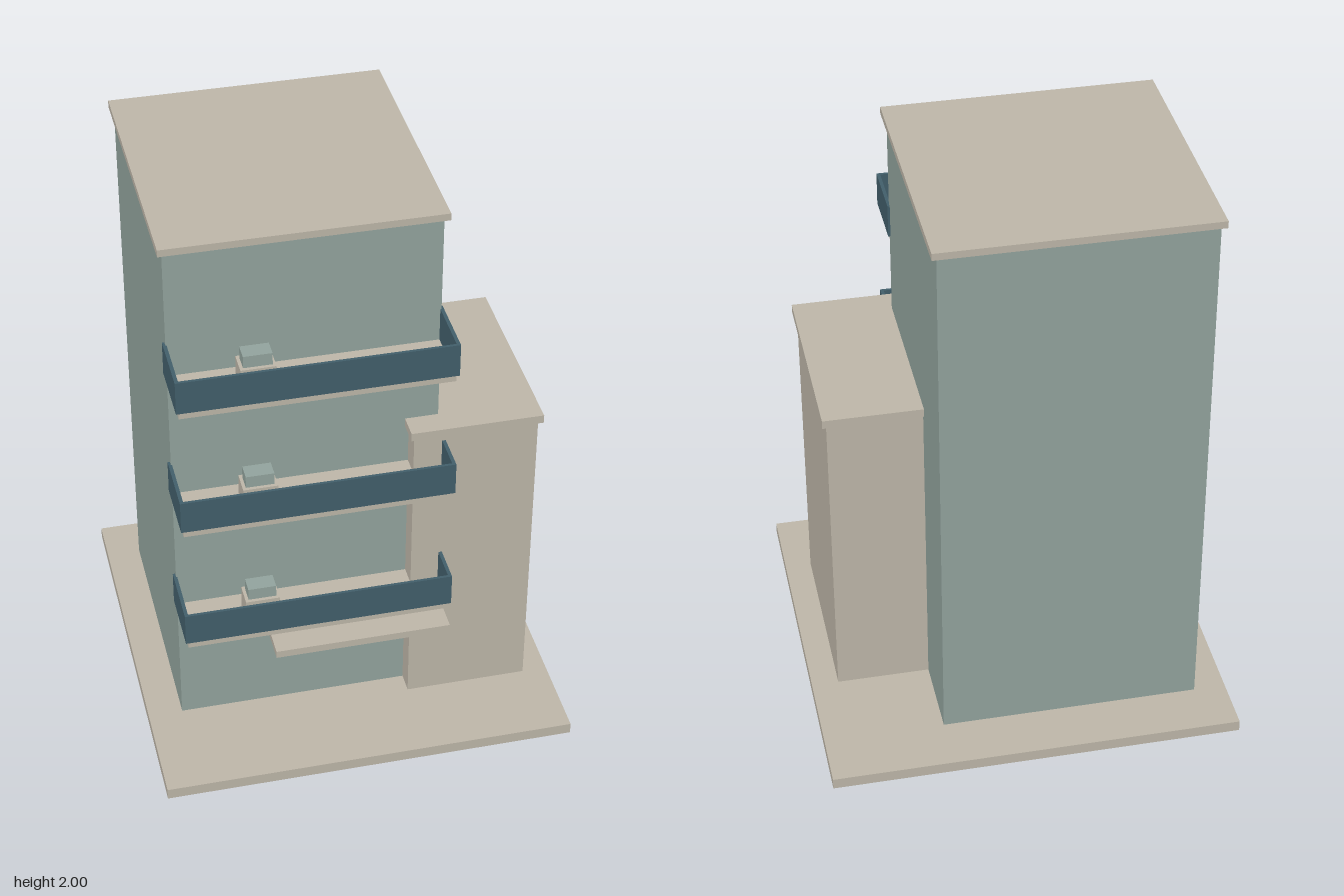
import * as THREE from 'three';

export function createModel() {
  const group = new THREE.Group();
  group.name = 'balconyBuilding';

  const mat = (name, color) => {
    const m = new THREE.MeshStandardMaterial({ color });
    m.name = name;
    return m;
  };
  const wall = mat('sageGreen', 0x93a49e);
  const stone = mat('warmStone', 0xbeb7a9);
  const rail = mat('slateBlue', 0x425f6b);

  // box given by its extents on each axis
  const box = (parent, name, material, [x0, x1], [y0, y1], [z0, z1]) => {
    const mesh = new THREE.Mesh(new THREE.BoxGeometry(x1 - x0, y1 - y0, z1 - z0), material);
    mesh.position.set((x0 + x1) / 2, (y0 + y1) / 2, (z0 + z1) / 2);
    mesh.name = name;
    parent.add(mesh);
  };

  // ground slab
  box(group, 'baseSlab', stone, [-0.717, 0.717], [0, 0.04], [-0.717, 0.717]);

  // main tower with overhanging roof
  box(group, 'tower', wall, [-0.6, 0.3], [0.055, 1.975], [-0.54, 0.36]);
  box(group, 'towerRoof', stone, [-0.615, 0.318], [1.975, 2], [-0.56, 0.373]);

  // lower side wing with overhanging roof
  box(group, 'wing', stone, [0.2, 0.625], [0.055, 1.18], [-0.245, 0.433]);
  box(group, 'wingRoof', stone, [0.187, 0.64], [1.18, 1.21], [-0.263, 0.447]);

  // canopy over the entrance
  box(group, 'entranceCanopy', stone, [-0.305, 0.3], [0.45, 0.477], [0.355, 0.59]);

  // three balconies, each with a floor, a railing on three sides and a planter
  [0.53, 1.01, 1.488].forEach((y, i) => {
    const balcony = new THREE.Group();
    balcony.name = `balcony${i + 1}`;
    balcony.position.y = y;
    box(balcony, 'balconyFloor', stone, [-0.599, 0.299], [0, 0.025], [0.342, 0.56]);
    box(balcony, 'railFront', rail, [-0.608, 0.308], [0.025, 0.144], [0.557, 0.567]);
    for (const x of [-0.608, 0.296]) {
      box(balcony, 'railSide', rail, [x, x + 0.012], [0.025, 0.144], [0.342, 0.557]);
    }
    box(balcony, 'planterBox', stone, [-0.392, -0.276], [0.025, 0.125], [0.438, 0.52]);
    box(balcony, 'planterTop', wall, [-0.381, -0.286], [0.125, 0.168], [0.45, 0.508]);
    group.add(balcony);
  });

  return group;
}
